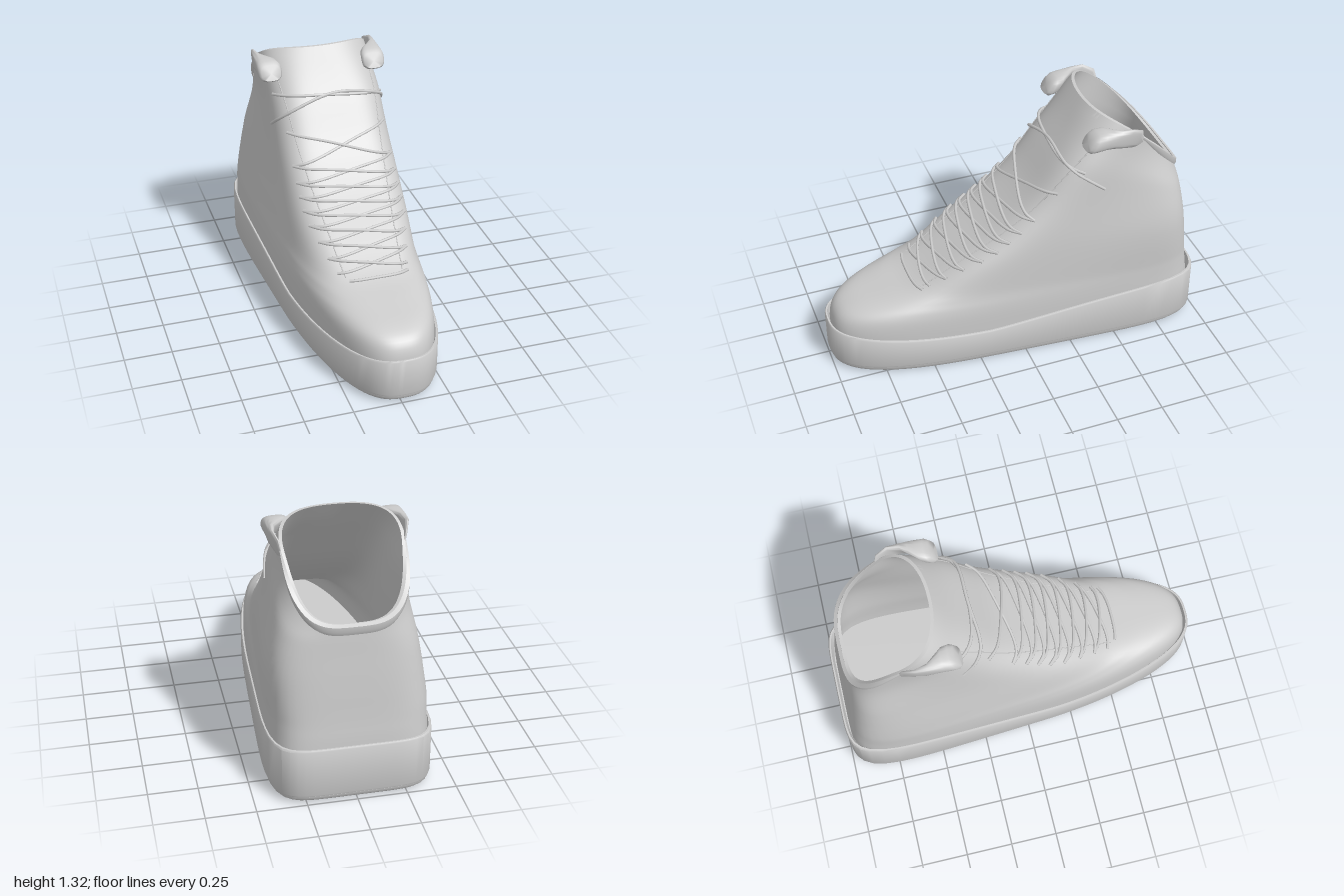
import * as THREE from 'three';
import { toCreasedNormals } from 'three/addons/utils/BufferGeometryUtils.js';

const material = new THREE.MeshStandardMaterial({ color: 0xcccccc, side: THREE.DoubleSide });
const { lerp, smoothstep } = THREE.MathUtils;
const SEG = 96;

// Closed rings of equal length joined into a skin
function loft(rings, crease = 0.7) {
  const n = rings[0].length, index = [];
  for (let j = 0; j < rings.length - 1; j++) {
    for (let i = 0; i < n; i++) {
      const a = j * n + i, b = j * n + (i + 1) % n;
      index.push(a, b, b + n, a, b + n, a + n);
    }
  }
  const geo = new THREE.BufferGeometry().setFromPoints(rings.flat());
  geo.setIndex(index);
  return toCreasedNormals(geo, crease);
}

function add(group, name, geo) {
  const mesh = new THREE.Mesh(geo, material);
  mesh.name = name;
  group.add(mesh);
}

const ringOf = (fn, n = SEG) => Array.from({ length: n }, (_, i) => fn(i / n * Math.PI * 2));

// Tapered plan outline, rounded toe curving slightly to the left, squarer heel; angle 0 is the toe
function outline(a, o, inset = 0) {
  const s = Math.sin(a), c = Math.cos(a), n = c > 0 ? o.nf : o.nb;
  const r = 1 / Math.pow(Math.abs(s) ** n + Math.abs(c) ** n, 1 / n);
  const u = (r * c + 1) / 2;
  const z = (o.zf + o.zb) / 2 + r * c * ((o.zf - o.zb) / 2 - inset);
  return { x: r * s * (lerp(o.wb, o.wf, u) - inset) + 0.02 * smoothstep(z, 0.1, 1), z, u };
}

// Upper slices: front z, front y, back z, back y, back width, front width, front and back roundness
const slices = [
  [0.975, 0.15, -0.977, 0.15, 0.432, 0.29, 2.7, 6],
  [0.972, 0.25, -0.974, 0.22, 0.432, 0.29, 2.7, 6],
  [0.94, 0.32, -0.969, 0.28, 0.432, 0.29, 2.7, 6],
  [0.86, 0.362, -0.963, 0.34, 0.431, 0.29, 2.8, 5.8],
  [0.7, 0.4, -0.955, 0.4, 0.43, 0.291, 3.2, 5.6],
  [0.52, 0.45, -0.947, 0.47, 0.428, 0.292, 4.1, 5.4],
  [0.3, 0.585, -0.938, 0.56, 0.423, 0.294, 5.4, 5],
  [0.1, 0.72, -0.927, 0.66, 0.41, 0.297, 5.6, 4.7],
  [-0.08, 0.88, -0.916, 0.75, 0.386, 0.299, 5.2, 4.4],
  [-0.22, 1.06, -0.907, 0.83, 0.347, 0.303, 4.4, 4],
  [-0.32, 1.19, -0.901, 0.88, 0.302, 0.315, 3.2, 3.7],
  [-0.41, 1.32, -0.898, 0.915, 0.258, 0.338, 2.2, 3.5],
];
const TOP = slices.length - 1;
const track = (p, q, r) => new THREE.CatmullRomCurve3(
  slices.map(s => new THREE.Vector3(s[p], s[q], s[r])), false, 'catmullrom', 0.5);
const tracks = [track(0, 1, 2), track(3, 4, 5), track(6, 7, 7)];

// Point on the upper at slice k and angle a; the ankle leans a little to the left
function upperPoint(k, a, inset = 0) {
  const [f, b, n] = tracks.map(t => t.getPoint(k / TOP));
  const p = outline(a, { zf: f.x, zb: f.z, wb: b.y, wf: b.z, nf: n.x, nb: n.y }, inset);
  const arched = smoothstep(k, 7, TOP);
  const u = lerp(p.u, 1 - (1 - p.u) ** 1.6, arched);
  const lean = 0.02 * smoothstep(k, 4, 7.5) * (1 - smoothstep(k, 9, TOP));
  return new THREE.Vector3(p.x + lean, lerp(b.x, f.y, u), p.z);
}
const upperRing = (k, inset) => ringOf(a => upperPoint(k, a, inset));

// Height of the sole edge: low at the ball, higher at toe and heel
function soleTop(z) {
  return z > 0.2
    ? 0.2 + 0.05 * ((z - 0.2) / 0.8) ** 2
    : 0.2 + 0.105 * Math.sin(Math.min(1, (0.2 - z) / 1.2) * Math.PI / 2) ** 1.2;
}
const soleShape = { zf: 1, zb: -1, wb: 0.445, wf: 0.306, nf: 2.7, nb: 6.2 };
const soleRing = (inset, height) => ringOf(a => {
  const p = outline(a, soleShape, inset);
  return new THREE.Vector3(p.x, height(p.z), p.z);
});

export function createModel() {
  const shoe = new THREE.Group();
  shoe.name = 'highTopShoe';

  // Thin tread under the shoe, turned up a little at heel and toe
  add(shoe, 'outsole', loft([
    ringOf(() => new THREE.Vector3(0, 0, 0)),
    soleRing(0.045, z => 0.006 * z ** 4),
    soleRing(0.02, z => 0.004 + 0.008 * z ** 4),
    soleRing(0.01, () => 0.022),
    soleRing(0.008, () => 0.037),
    soleRing(0.02, () => 0.041),
  ]));

  // Cupped sole wall with a small lip
  add(shoe, 'midsole', loft([
    soleRing(0.02, () => 0.04),
    soleRing(0.003, () => 0.041),
    soleRing(0, () => 0.05),
    soleRing(0, z => soleTop(z) - 0.008),
    soleRing(0.005, soleTop),
    soleRing(0.013, soleTop),
    soleRing(0.022, z => soleTop(z) - 0.04),
  ]));

  // Outer skin, rolled over the opening and continued as lining and insole
  const rings = [];
  for (let k = 0; k <= TOP; k += 0.25) rings.push(upperRing(k));
  for (let k = TOP; k >= 1; k -= 0.5) rings.push(upperRing(k, 0.016));
  rings.push(ringOf(() => new THREE.Vector3(0, 0.24, 0)));
  add(shoe, 'upper', loft(rings, 0.9));

  // Raised band along the ankle opening, fading out at the tongue
  const bandRing = (drop, out) => ringOf(a => {
    const fade = smoothstep(-Math.cos(a), -0.4, 0.5);
    const p = upperPoint(TOP, a, -out * fade);
    p.y -= drop * fade;
    return p;
  });
  add(shoe, 'collarBand', loft([
    bandRing(0.05, 0.008), bandRing(0.03, 0.017), bandRing(0.004, 0.018), bandRing(-0.006, 0),
  ]));

  // Curled padded flaps beside the tongue with a thin wing behind: z, x, y, radius x, radius y
  const flap = [
    [-0.64, 0.295, 1.16, 0.003, 0.01], [-0.6, 0.31, 1.205, 0.008, 0.045],
    [-0.54, 0.328, 1.23, 0.012, 0.048], [-0.48, 0.322, 1.235, 0.022, 0.045],
    [-0.44, 0.305, 1.234, 0.042, 0.046], [-0.4, 0.288, 1.23, 0.06, 0.05],
    [-0.365, 0.284, 1.228, 0.063, 0.048], [-0.345, 0.283, 1.226, 0.052, 0.036],
    [-0.34, 0.283, 1.225, 0, 0],
  ];
  const squared = v => Math.sign(v) * Math.abs(v) ** 0.7;
  for (const side of [1, -1]) {
    add(shoe, side > 0 ? 'leftFlap' : 'rightFlap', loft(flap.map(([z, x, y, rx, ry]) => ringOf(a => {
      const dy = ry * squared(Math.sin(side * a));
      return new THREE.Vector3(side * (x + rx * squared(Math.cos(a))), y + dy, z - 0.6 * dy);
    }, 24)), 1.2));
  }

  // Thin edge on each side of the throat
  for (const side of [1, -1]) {
    const path = [];
    for (let k = 5; k <= 10.5; k += 0.5) path.push(upperPoint(k, side * lerp(0.48, 0.82, (k - 5) / 5.5)));
    add(shoe, side > 0 ? 'leftThroatEdge' : 'rightThroatEdge',
      new THREE.TubeGeometry(new THREE.CatmullRomCurve3(path), 60, 0.003, 6));
  }

  // Laces follow the throat and lift slightly in the middle
  const laces = new THREE.Group();
  laces.name = 'laces';
  shoe.add(laces);
  function lace(k0, a0, k1, a1, bow = 0, rise = 0) {
    const points = [];
    for (let i = 0; i <= 12; i++) {
      const t = i / 12, arch = Math.sin(t * Math.PI);
      const p = upperPoint(lerp(k0, k1, t) + bow * arch, lerp(a0, a1, t));
      const off = 0.005 + (0.006 + rise) * arch;
      points.push(p.add(new THREE.Vector3(0, off, off)));
    }
    add(laces, 'lace', new THREE.TubeGeometry(new THREE.CatmullRomCurve3(points), 40, 0.0085, 6));
  }
  const rows = [5.1, 5.45, 5.8, 6.15, 6.5, 6.85, 7.2, 7.6, 8.4];
  const reach = i => Math.min(0.79, 0.58 + i * 0.06);
  lace(4.9, -0.45, 4.9, 0.56);
  for (let i = 0; i < rows.length - 1; i++) {
    lace(rows[i], -reach(i), rows[i + 1], reach(i + 1), 0, 0.002);
    lace(rows[i + 1], -reach(i + 1), rows[i], reach(i), 0, 0.008);
  }
  lace(9.4, -0.95, 9.1, 0.92, 0, 0.008);
  lace(8.5, -1.08, 8.7, 1.25, 0.7, 0.01);

  return shoe;
}
